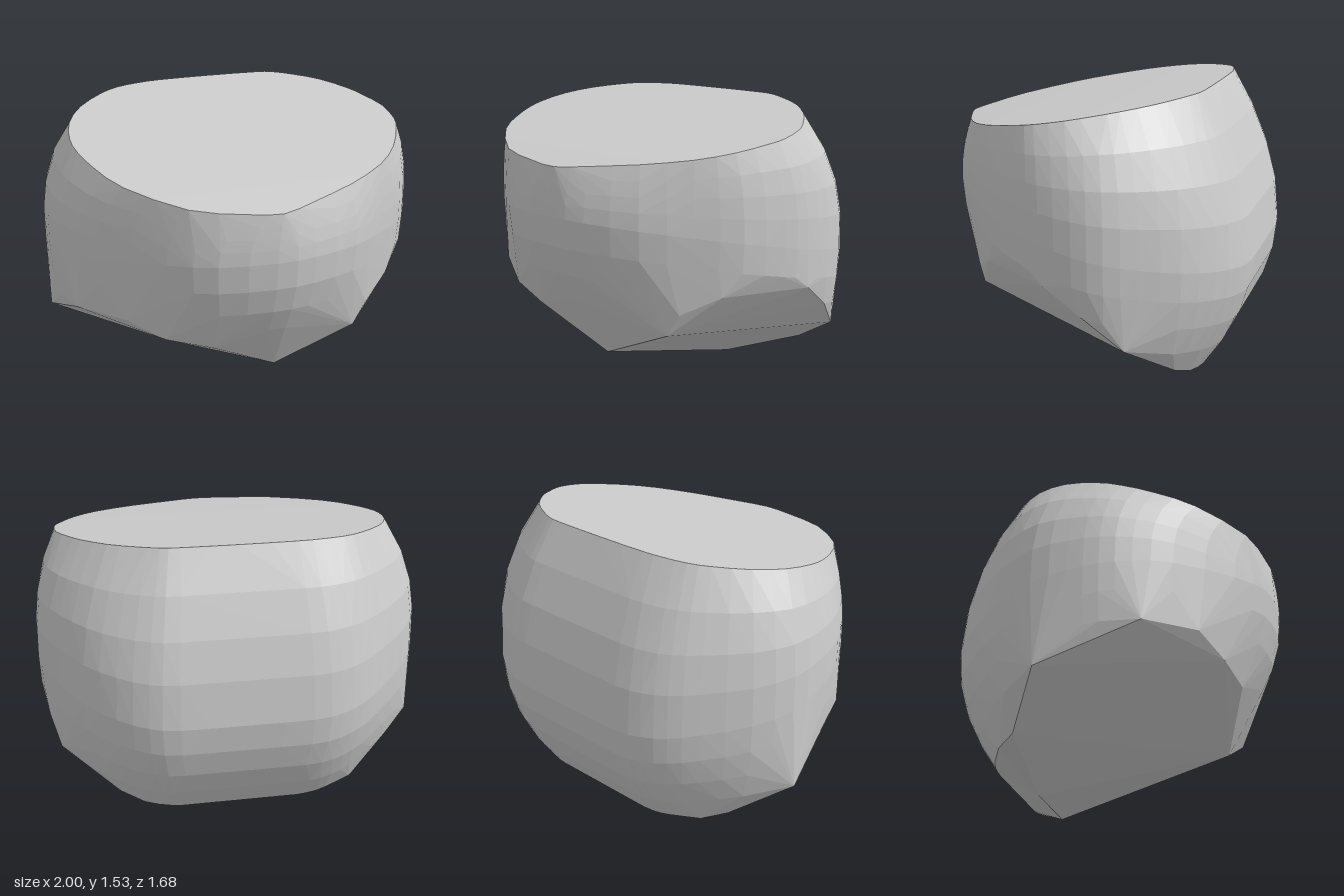
import * as THREE from 'three';
import { ConvexGeometry } from 'three/addons/geometries/ConvexGeometry.js';

// Widest outline and top rim, paired point by point as [x, z]
const GIRTH = [
  [0, -0.84], [0.33, -0.84], [0.48, -0.81], [0.63, -0.73], [0.78, -0.6], [0.9, -0.43], [0.98, -0.28],
  [1, -0.13], [0.98, 0.04], [0.93, 0.17], [0.82, 0.36], [0.65, 0.53], [0.45, 0.7], [0.2, 0.81],
  [0, 0.84], [-0.28, 0.79], [-0.5, 0.65], [-0.8, 0.38], [-0.92, 0.2], [-0.98, 0.05], [-1, -0.1],
  [-0.99, -0.28], [-0.89, -0.47], [-0.72, -0.65], [-0.6, -0.75], [-0.48, -0.81], [-0.33, -0.84],
];
const RIM = [
  [0, -0.57], [0.28, -0.565], [0.38, -0.55], [0.5, -0.49], [0.62, -0.41], [0.74, -0.28], [0.8, -0.18],
  [0.86, -0.05], [0.87, 0.1], [0.84, 0.2], [0.76, 0.36], [0.63, 0.51], [0.42, 0.65], [0.2, 0.75],
  [0.03, 0.82], [-0.15, 0.79], [-0.4, 0.71], [-0.66, 0.48], [-0.77, 0.29], [-0.83, 0.13], [-0.85, 0],
  [-0.83, -0.17], [-0.75, -0.33], [-0.62, -0.46], [-0.52, -0.52], [-0.4, -0.55], [-0.28, -0.565],
];

// Corners of the chipped underside
const CHIPS = [
  [-0.25, 0, -0.42], [0.2, 0.01, -0.42], [0.62, 0.17, -0.53], [0.91, 0.37, -0.36],
  [0.51, 0.47, 0.56], [0.09, 0.27, 0.52], [-0.27, 0.5, 0.64], [-0.5, 0.55, 0.58],
  [-0.68, 0.635, 0.48], [-0.9, 0.61, 0.24], [-1, 0.37, -0.25], [-0.72, 0.16, -0.42],
  [0.98, 0.68, 0.02], [0.74, 0.68, 0.42], [0.58, 0.59, 0.55], [0.97, 0.54, -0.17],
  [-0.62, 0.13, -0.52],
].map((p) => new THREE.Vector3(...p));

// Plane through three chip corners, facing into the stone
function cut(a, b, c) {
  const plane = new THREE.Plane().setFromCoplanarPoints(CHIPS[a], CHIPS[b], CHIPS[c]);
  return plane.normal.y < 0 ? plane.negate() : plane;
}

// Closed smooth outline through [x, z] pairs
function outline(pairs) {
  return new THREE.CatmullRomCurve3(pairs.map(([x, z]) => new THREE.Vector3(x, 0, z)), true, 'catmullrom');
}

export function createModel() {
  const points = [...CHIPS];
  const cuts = [cut(5, 3, 1), cut(5, 7, 0), cut(7, 9, 11), cut(4, 12, 3)];
  const girth = outline(GIRTH);
  const rim = outline(RIM);
  const steps = GIRTH.length * 2;

  for (let i = 0; i < steps; i++) {
    const { x, z } = girth.getPoint(i / steps);
    const { x: rx, z: rz } = rim.getPoint(i / steps);
    const y = 0.875 + 0.21 * z;
    const rimY = 1.445 - 0.162 * rz - 0.02 * rz * rz;

    // Shoulder, curving in from the girth to the tilted top, fuller at the sides
    for (const t of [0, 0.28, 0.52, 0.76, 1]) {
      const f = t ** (1.75 + x * x);
      points.push(new THREE.Vector3(
        THREE.MathUtils.lerp(x, rx, f), THREE.MathUtils.lerp(y, rimY, t), THREE.MathUtils.lerp(z, rz, f)));
    }

    // Belly, curving in below the girth and stopping at the chipped faces
    for (const drop of [0.15, 0.3, 0.45, 0.6]) {
      const inset = (0.71 - 0.06 * z - 0.5 * x * x) * drop * drop;
      const s = 1 - inset / Math.hypot(x, z);
      const p = new THREE.Vector3(x * s, y - drop, z * s);
      if (cuts.every((plane) => plane.distanceToPoint(p) > 0.005)) points.push(p);
    }
  }

  const stone = new THREE.Mesh(
    new ConvexGeometry(points),
    new THREE.MeshStandardMaterial({ color: 0xcccccc, flatShading: true }));
  stone.name = 'stone';

  const group = new THREE.Group();
  group.name = 'cutStone';
  group.add(stone);
  return group;
}
